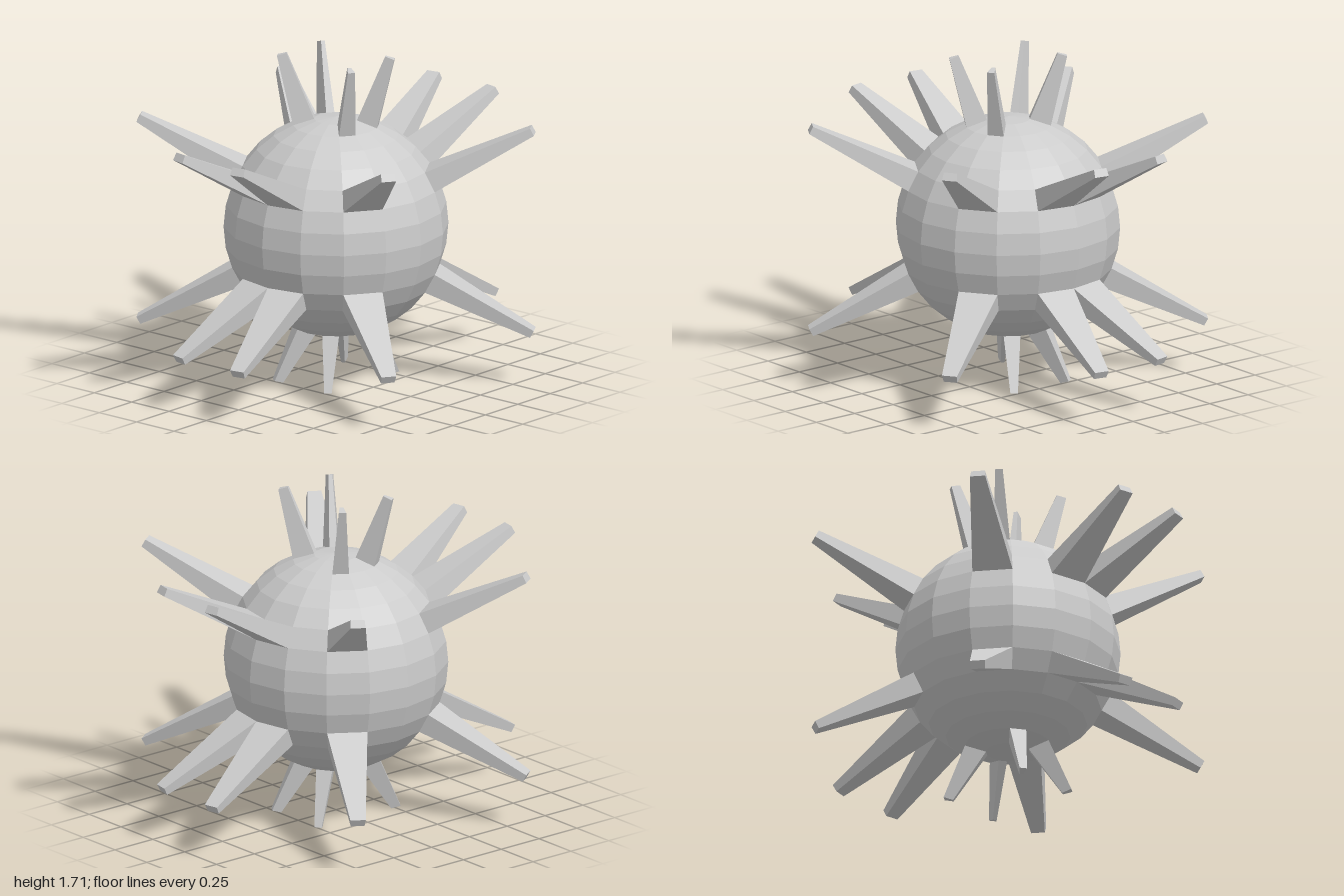
import * as THREE from 'three';

const R = 0.57, CENTER_Y = 0.81, STEP = 11.25;

// Point on the body at polar angle (from the top) and azimuth (from +z), in degrees
function onBody(polar, azimuth) {
  return new THREE.Vector3().setFromSphericalCoords(
    R, THREE.MathUtils.degToRad(polar), THREE.MathUtils.degToRad(azimuth));
}

// Tapered four-sided spike that grows out of one facet of the body
function spikeGeometry({ polar, tipR, tipY, taper }, azimuth) {
  const a0 = azimuth - STEP, a1 = azimuth + STEP;
  const base = [
    onBody(polar + STEP, a0), onBody(polar + STEP, a1),
    onBody(polar, a1), onBody(polar, a0),
  ];
  const mid = new THREE.Vector3();
  base.forEach((p) => mid.addScaledVector(p, 0.25));
  const a = THREE.MathUtils.degToRad(azimuth);
  const tip = new THREE.Vector3(tipR * Math.sin(a), tipY, tipR * Math.cos(a));
  const end = base.map((p) => p.clone().sub(mid).multiplyScalar(taper).add(tip));

  const points = [];
  const quad = (p, q, r, s) => points.push(p, q, r, p, r, s);
  for (let i = 0; i < 4; i++) {
    const j = (i + 1) % 4;
    quad(base[i], base[j], end[j], end[i]);
  }
  quad(...end);
  const geometry = new THREE.BufferGeometry().setFromPoints(points);
  geometry.computeVertexNormals();
  return geometry;
}

export function createModel() {
  const model = new THREE.Group();
  model.name = 'spikyBall';
  const material = new THREE.MeshStandardMaterial({ color: 0xcccccc, flatShading: true });

  // Faceted ball
  const ball = new THREE.Group();
  ball.name = 'ball';
  ball.position.y = CENTER_Y;
  model.add(ball);
  const body = new THREE.Mesh(new THREE.SphereGeometry(R, 16, 16), material);
  body.name = 'body';
  ball.add(body);

  // Rings of spikes; each azimuth is mirrored left-right and front-back
  const rings = [
    { name: 'topSpike', polar: STEP, azimuths: [33.75], tipR: 0.275, tipY: 0.89, taper: 0.45 },
    { name: 'upperSpike', polar: 5 * STEP, azimuths: [33.75, 78.75], tipR: 1.003, tipY: 0.533, taper: 0.38 },
    { name: 'lowerSpike', polar: 10 * STEP, azimuths: [33.75, 78.75], tipR: 1.003, tipY: -0.533, taper: 0.38 },
    { name: 'bottomSpike', polar: 14 * STEP, azimuths: [56.25], tipR: 0.303, tipY: -0.803, taper: 0.45 },
  ];
  for (const ring of rings) {
    const group = new THREE.Group();
    group.name = ring.name + 's';
    for (const a of ring.azimuths) {
      for (const azimuth of [a, 180 - a, 180 + a, 360 - a]) {
        const spike = new THREE.Mesh(spikeGeometry(ring, azimuth), material);
        spike.name = ring.name;
        group.add(spike);
      }
    }
    ball.add(group);
  }
  return model;
}
